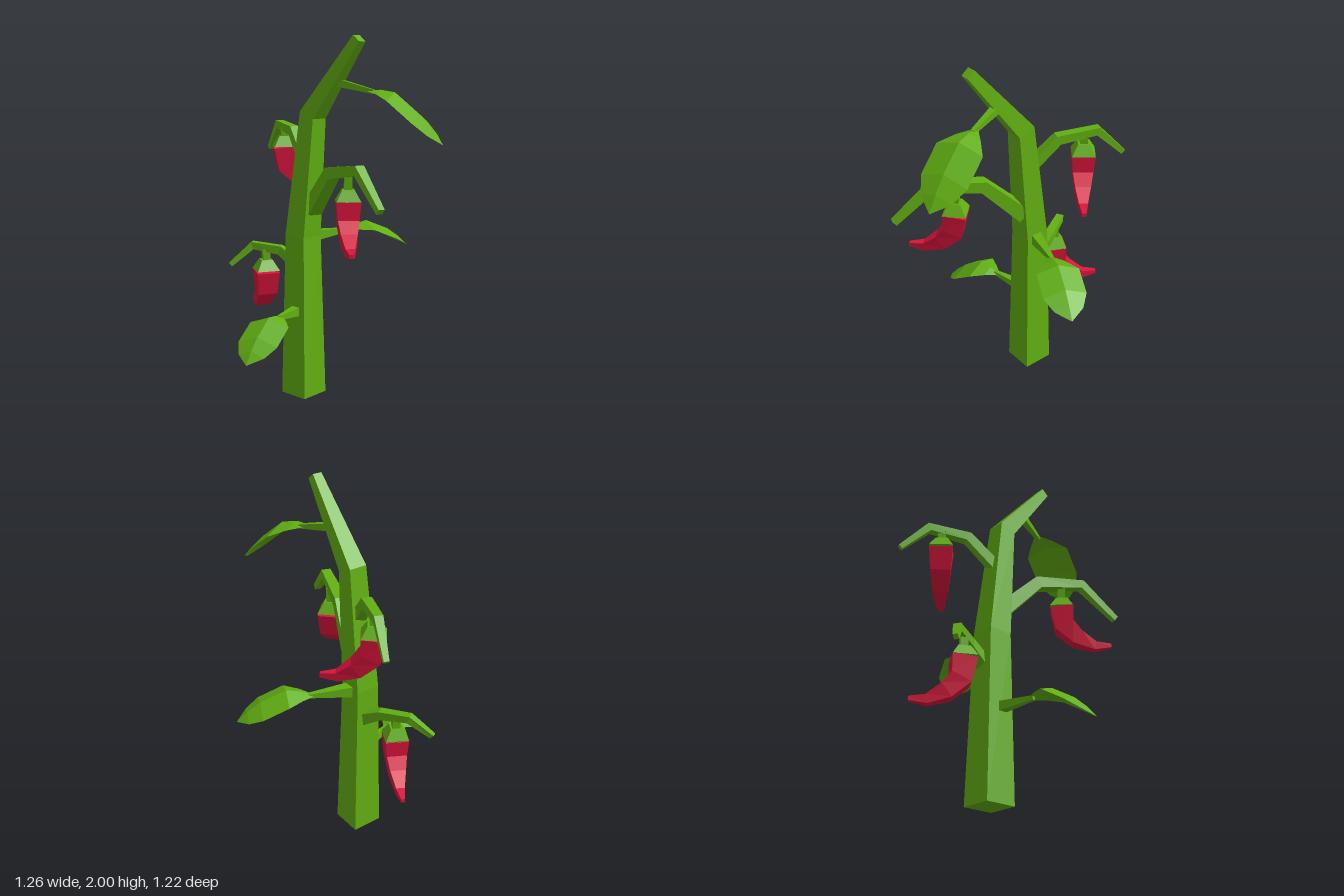
import * as THREE from 'three';

const green = new THREE.MeshStandardMaterial({ color: 0x62b012, flatShading: true });
const leafGreen = new THREE.MeshStandardMaterial({ color: 0x62b012, flatShading: true, side: THREE.DoubleSide });
const red = new THREE.MeshStandardMaterial({ color: 0xdc143c, flatShading: true });

function mesh(name, geometry, material) {
  const m = new THREE.Mesh(geometry, material);
  m.name = name;
  return m;
}

function facetGeometry(triangles) {
  const g = new THREE.BufferGeometry().setFromPoints(triangles);
  g.computeVertexNormals();
  return g;
}

// Tapered square beam along a path; each point is [x, y, z, halfWidth]
function beam(path) {
  const pts = path.map(([x, y, z]) => new THREE.Vector3(x, y, z));
  const last = pts.length - 1;
  const run = pts[last].clone().sub(pts[0]);
  const side = new THREE.Vector3(-run.z, 0, run.x).normalize();
  const rings = pts.map((p, i) => {
    const t = new THREE.Vector3();
    if (i > 0) t.add(p.clone().sub(pts[i - 1]).normalize());
    if (i < last) t.add(pts[i + 1].clone().sub(p).normalize());
    const n = t.normalize().cross(side).normalize();
    return [[1, 1], [-1, 1], [-1, -1], [1, -1]].map(([a, b]) =>
      p.clone().addScaledVector(side, a * path[i][3]).addScaledVector(n, b * path[i][3]));
  });
  const tris = [];
  const quad = (a, b, c, d) => tris.push(a, b, c, a, c, d);
  for (let i = 0; i < last; i++) {
    for (let k = 0; k < 4; k++) {
      const j = (k + 1) % 4;
      quad(rings[i][k], rings[i][j], rings[i + 1][j], rings[i + 1][k]);
    }
  }
  quad(...rings[0].slice().reverse());
  quad(...rings[last]);
  return facetGeometry(tris);
}

// Arched leaf with a raised midrib: [fraction along, half width, midrib height]
const LEAF = [[0, 0.01, 0], [0.17, 0.062, 0.03], [0.36, 0.116, 0.048],
  [0.69, 0.116, -0.01], [0.86, 0.077, -0.06], [1, 0, -0.115]];

function leaf(base, tip, slope, wide) {
  const dir = new THREE.Vector3(tip[0] - base[0], 0, tip[1] - base[2]);
  const across = new THREE.Vector3(-dir.z, 0, dir.x).normalize();
  const rows = LEAF.map(([u, w, h]) => {
    const rib = new THREE.Vector3(...base).addScaledVector(dir, u);
    rib.y += h + slope * u;
    const edge = (s) => {
      const e = rib.clone().addScaledVector(across, s * w * wide);
      e.y -= 0.35 * w;
      return e;
    };
    return [edge(-1), rib, edge(1)];
  });
  const tris = [];
  for (let i = 0; i < rows.length - 1; i++) {
    for (let k = 0; k < 2; k++) {
      const a = rows[i][k], b = rows[i][k + 1], c = rows[i + 1][k + 1], d = rows[i + 1][k];
      tris.push(a, b, c, a, c, d);
    }
  }
  return facetGeometry(tris);
}

// Hanging pepper with its shoulder at the origin, tail curling toward +x
function pepper(stemHeight) {
  const g = new THREE.Group();
  g.name = 'pepper';
  g.add(mesh('pepperBody', beam([
    [0, -0.004, 0, 0.064], [0.014, -0.115, 0, 0.055], [0.085, -0.187, 0, 0.043],
    [0.18, -0.235, 0, 0.024], [0.265, -0.233, 0, 0.011]]), red));
  const cap = mesh('pepperCap', new THREE.CylinderGeometry(0.045, 0.091, 0.06, 4), green);
  cap.position.y = 0.03;
  const stem = mesh('pepperStem', new THREE.CylinderGeometry(0.03, 0.03, stemHeight, 4), green);
  stem.position.y = 0.06 + stemHeight / 2;
  cap.rotation.y = stem.rotation.y = Math.PI / 4;
  g.add(cap, stem);
  return g;
}

export function createModel() {
  const plant = new THREE.Group();
  plant.name = 'pepperPlant';

  // Main stem
  plant.add(mesh('mainStem', beam([
    [-0.155, 0, 0.02, 0.088], [-0.15, 0.92, 0.025, 0.069],
    [-0.079, 1.585, 0.02, 0.051], [0.243, 1.982, 0.02, 0.026]]), green));

  // Fruit branches
  const branches = [
    [[-0.09, 1.07, 0.013, 0.042], [0.122, 1.292, 0.09, 0.034], [0.38, 1.335, 0.182, 0.026], [0.578, 1.157, 0.255, 0.017]],
    [[-0.13, 1.33, 0.025, 0.03], [-0.28, 1.488, -0.04, 0.027], [-0.48, 1.512, -0.13, 0.023], [-0.62, 1.363, -0.19, 0.014]],
    [[-0.18, 0.73, 0.01, 0.035], [-0.315, 0.813, 0.042, 0.025], [-0.457, 0.833, 0.118, 0.022], [-0.54, 0.725, 0.215, 0.014]],
  ];
  branches.forEach((path) => plant.add(mesh('branch', beam(path), green)));

  // Peppers: position, tail direction in x and z, stem length
  const peppers = [
    [[0.27, 1.165, 0.133], [0.19, 0.195], 0.08],
    [[-0.413, 1.388, -0.1], [0.165, -0.205], 0.05],
    [[-0.388, 0.695, 0.085], [-0.235, -0.13], 0.06],
  ];
  for (const [pos, [dx, dz], stemHeight] of peppers) {
    const p = pepper(stemHeight);
    p.position.set(...pos);
    p.rotation.y = Math.atan2(-dz, dx);
    plant.add(p);
  }

  // Leaves: stalk start, start half width, blade base, tip in x and z, slope, width factor
  const leaves = [
    [[0.06, 1.765, 0.015], 0.022, [0.25, 1.72, -0.045], [0.63, -0.18], -0.155, 1.15],
    [[-0.15, 0.908, -0.02], 0.032, [-0.083, 0.918, -0.23], [0.09, -0.612], 0, 1],
    [[-0.15, 0.495, 0.06], 0.028, [-0.1, 0.505, 0.25], [0, 0.608], -0.045, 1],
  ];
  for (const [start, half, base, tip, slope, wide] of leaves) {
    const end = base.map((v, i) => v + (v - start[i]) * 0.15);
    plant.add(mesh('leafStalk', beam([[...start, half], [...end, 0.011]]), green));
    plant.add(mesh('leaf', leaf(base, tip, slope, wide), leafGreen));
  }
  return plant;
}
